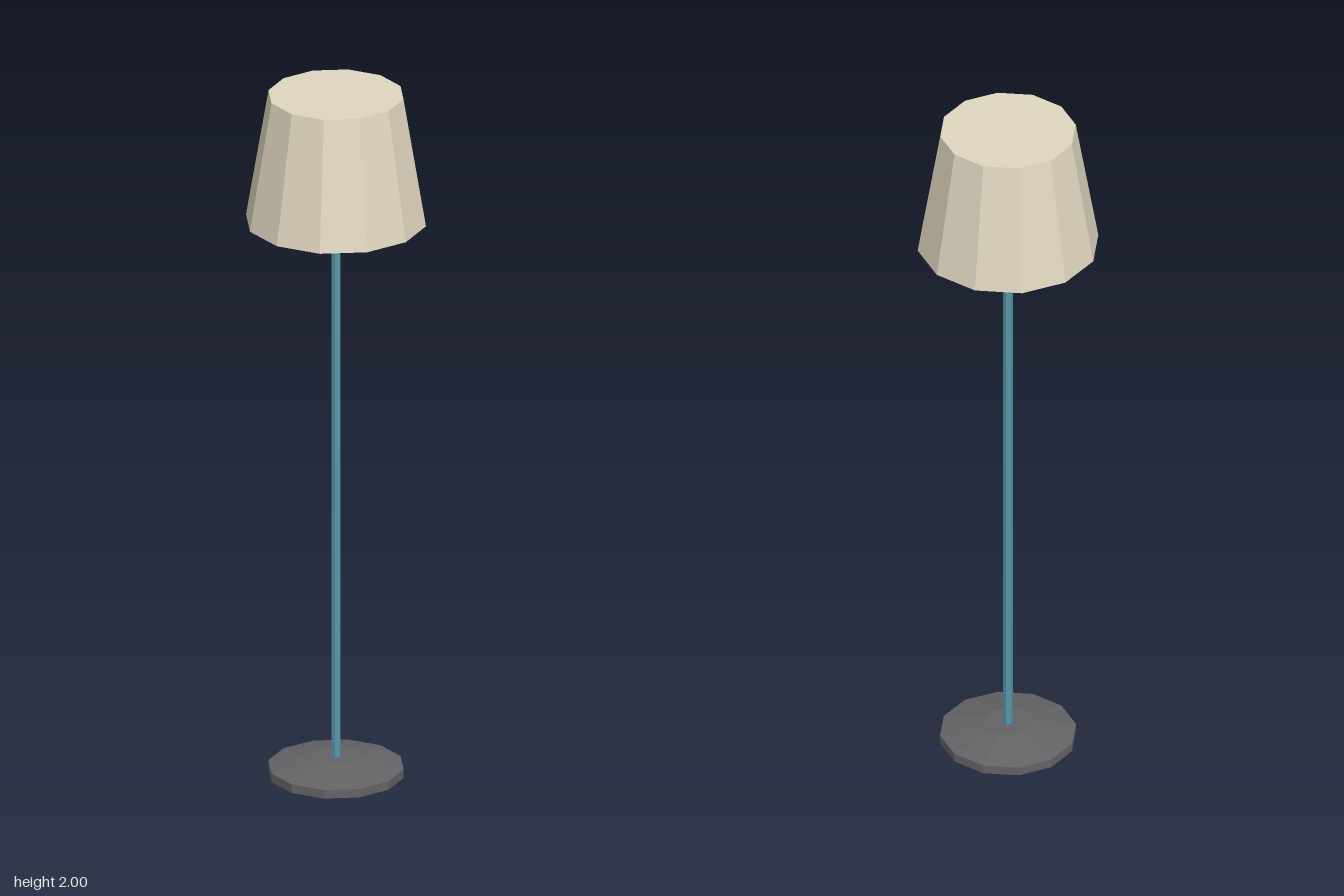
import * as THREE from 'three';

const flat = (name, color) => {
  const m = new THREE.MeshStandardMaterial({ color, flatShading: true });
  m.name = name;
  return m;
};

export function createModel() {
  const lamp = new THREE.Group();
  lamp.name = 'floorLamp';
  const cream = flat('creamFabric', 0xe0d6c0);
  const teal = flat('tealMetal', 0x5596a8);
  const grey = flat('greyBase', 0x636265);

  // Upright faceted section between two heights
  const section = (name, topR, bottomR, y0, y1, sides, material, open = false) => {
    const geo = new THREE.CylinderGeometry(topR, bottomR, y1 - y0, sides, 1, open);
    const mesh = new THREE.Mesh(geo, material);
    mesh.name = name;
    mesh.position.y = (y0 + y1) / 2;
    lamp.add(mesh);
  };

  // Foot: a 12-sided disc with a shallow sloping top, as one closed profile
  const profile = [[0, 0], [0.188, 0], [0.188, 0.025], [0.065, 0.052], [0, 0.052]]
    .map(([r, y]) => new THREE.Vector2(r, y));
  const foot = new THREE.Mesh(new THREE.LatheGeometry(profile, 12), grey);
  foot.name = 'foot';
  lamp.add(foot);

  // Thin pole up into the shade
  section('pole', 0.0135, 0.0135, 0.05, 1.64, 6, teal);

  // Closed, tapered shade
  section('shade', 0.1875, 0.25, 1.63, 2, 12, cream);

  return lamp;
}
